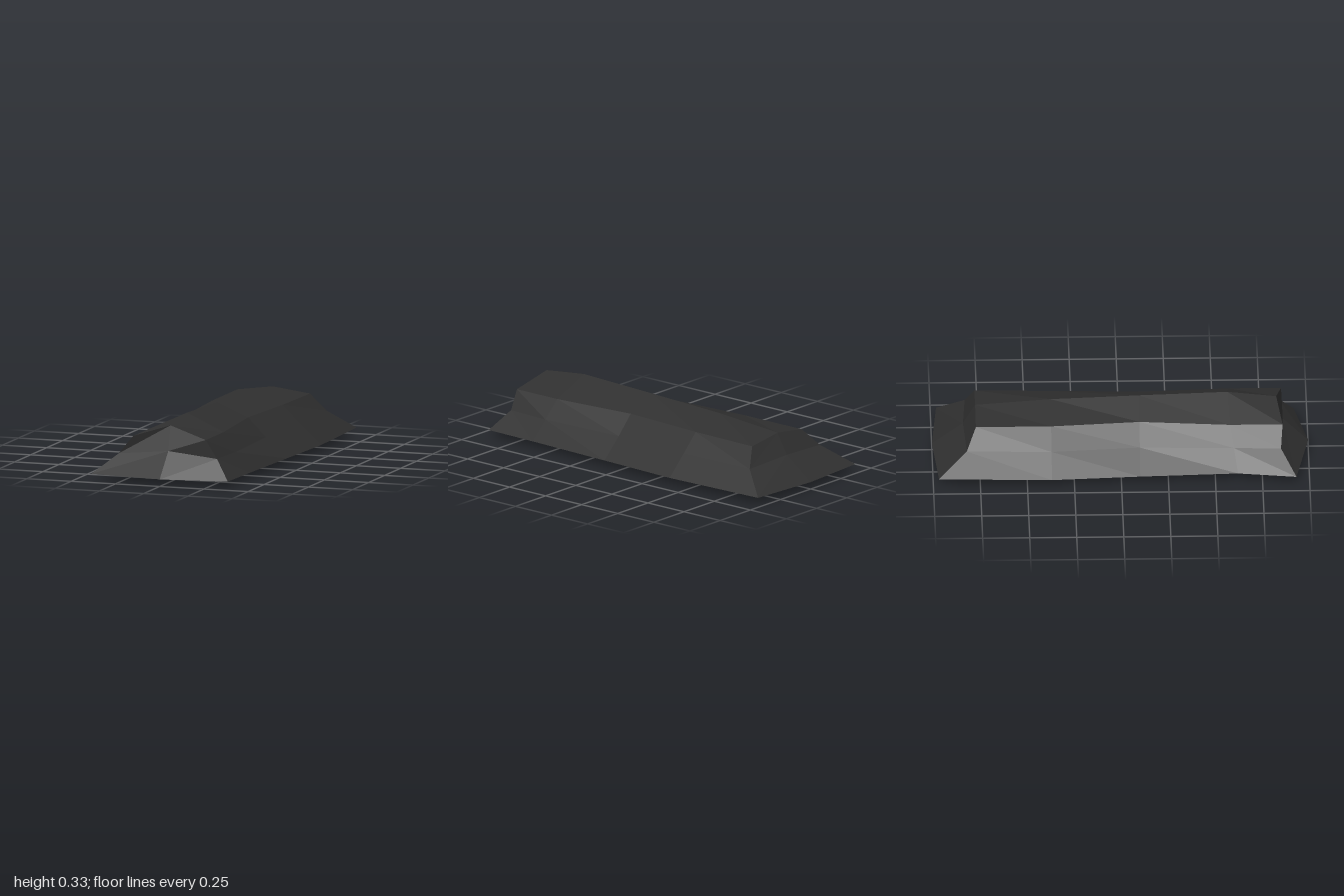
import * as THREE from 'three';

// Surface through rows of points; each row runs from -x to +x
function loft(rows) {
  const pos = [];
  for (let i = 0; i < rows.length - 1; i++) {
    for (let j = 0; j < rows[i].length - 1; j++) {
      const a = rows[i][j], b = rows[i][j + 1], c = rows[i + 1][j + 1], d = rows[i + 1][j];
      pos.push(...a, ...b, ...c, ...a, ...c, ...d);
    }
  }
  const geo = new THREE.BufferGeometry();
  geo.setAttribute('position', new THREE.Float32BufferAttribute(pos, 3));
  geo.computeVertexNormals();
  return geo;
}

// Cross-sections, front to back: [x left of row, x right of row, y, z] for rim, flank and shoulder;
// [y, z] for the ridge on top and the keel below
const stations = [
  { rim: [-0.41, 0.36, 0.037, 0.93], flank: [-0.285, 0.27, 0.142, 0.85], shoulder: [-0.2, 0.21, 0.242, 0.86], ridge: [0.305, 0.83], keel: [0.04, 1] },
  { rim: [-0.365, 0.37, 0.037, 0.62], flank: [-0.275, 0.285, 0.142, 0.6], shoulder: [-0.2, 0.21, 0.242, 0.58], ridge: [0.334, 0.57], keel: [0.002, 0.65] },
  { rim: [-0.39, 0.393, 0.037, 0.1], flank: [-0.265, 0.275, 0.145, 0.1], shoulder: [-0.165, 0.175, 0.246, 0.1], ridge: [0.318, 0.1], keel: [0.018, 0.1] },
  { rim: [-0.42, 0.415, 0.037, -0.37], flank: [-0.305, 0.3, 0.145, -0.37], shoulder: [-0.2, 0.2, 0.243, -0.37], ridge: [0.3, -0.37], keel: [0.032, -0.37] },
  { rim: [-0.405, 0.4, 0.04, -0.97], flank: [-0.29, 0.29, 0.145, -0.82], shoulder: [-0.2, 0.21, 0.243, -0.77], ridge: [0.27, -0.77], keel: [0.04, -1] },
];
const left = ([x, , y, z]) => [x, y, z];
const right = ([, x, y, z]) => [x, y, z];
const mid = ([y, z]) => [0, y, z];
const across = (side, centre) => [left(side), mid(centre), right(side)];

export function createModel() {
  const group = new THREE.Group();
  const charcoal = new THREE.MeshStandardMaterial({ color: 0x303030, flatShading: true });
  charcoal.name = 'charcoal';
  const add = (name, rows) => {
    const mesh = new THREE.Mesh(loft(rows), charcoal);
    mesh.name = name;
    group.add(mesh);
  };
  const front = stations[0], back = stations[stations.length - 1];

  // Long faceted top, rim to rim
  add('upperShell', stations.map((s) => [
    left(s.rim), left(s.flank), left(s.shoulder), mid(s.ridge),
    right(s.shoulder), right(s.flank), right(s.rim),
  ]));
  // Sloped ends
  add('frontEnd', [
    across(front.rim, front.keel),
    across(front.flank, [0.172, 0.865]),
    across(front.shoulder, front.ridge),
  ]);
  add('backEnd', [
    across(back.shoulder, back.ridge),
    across(back.flank, [0.16, -0.835]),
    across(back.rim, back.keel),
  ]);
  // Shallow keeled underside
  add('underside', [...stations].reverse().map((s) => across(s.rim, s.keel)));
  return group;
}
